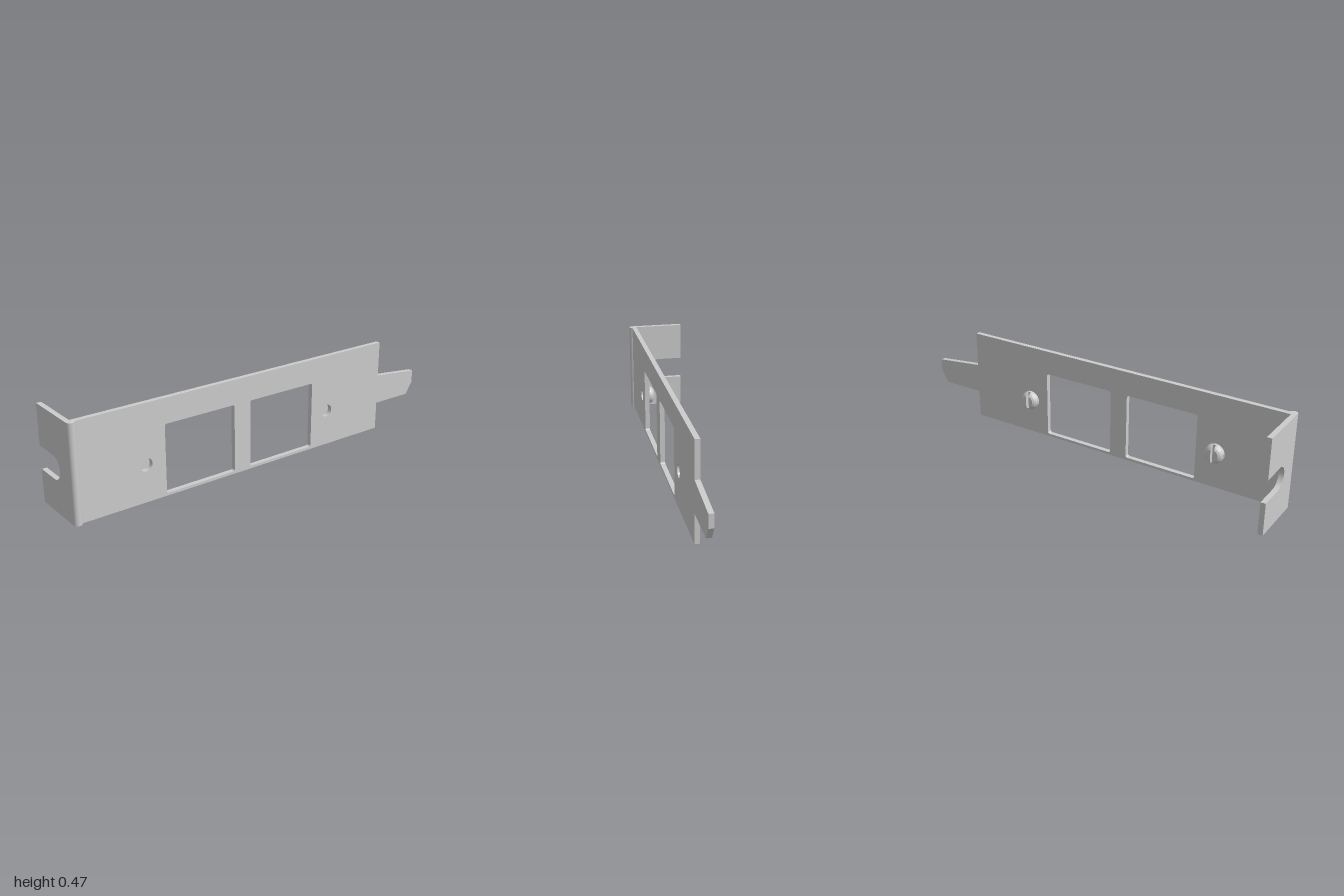
import * as THREE from 'three';
import { ConvexGeometry } from 'three/addons/geometries/ConvexGeometry.js';

const material = new THREE.MeshStandardMaterial({ color: 0xcccccc });
const T = 0.024; // sheet thickness
const INNER = 0.106; // inner face of the long plate

function mesh(name, geometry) {
  const m = new THREE.Mesh(geometry, material);
  m.name = name;
  return m;
}

function extrude(shape) {
  return new THREE.ExtrudeGeometry(shape, { depth: T, bevelEnabled: false, curveSegments: 16 });
}

function roundedWindow(x0, x1, y0, y1, r) {
  const p = new THREE.Path();
  p.absarc(x1 - r, y0 + r, r, -Math.PI / 2, 0);
  p.absarc(x1 - r, y1 - r, r, 0, Math.PI / 2);
  p.absarc(x0 + r, y1 - r, r, Math.PI / 2, Math.PI);
  p.absarc(x0 + r, y0 + r, r, Math.PI, Math.PI * 1.5);
  p.closePath();
  return p;
}

// Slotted button head: low rim with two domed halves, axis along local y
function buttonHead() {
  const head = new THREE.Group();
  const rim = mesh('headRim', new THREE.CylinderGeometry(0.047, 0.047, 0.014, 32));
  rim.position.y = 0.007;
  head.add(rim);
  const slot = 0.008;
  const levels = [[0.047, 0.013], [0.045, 0.022], [0.039, 0.03], [0.03, 0.036]];
  for (const side of [1, -1]) {
    const points = [];
    for (const [r, y] of levels) {
      const a0 = Math.asin(slot / r);
      for (let i = 0; i <= 14; i++) {
        const a = a0 + (Math.PI - 2 * a0) * i / 14;
        points.push(new THREE.Vector3(r * Math.cos(a), y, side * r * Math.sin(a)));
      }
    }
    head.add(mesh('headHalf', new ConvexGeometry(points)));
  }
  return head;
}

export function createModel() {
  const group = new THREE.Group();
  const studs = [0.64, -0.4];
  const studY = 0.18;

  // Long plate with tapered tab, drawn with the horizontal axis as -z
  const plate = new THREE.Shape([
    [-0.98, 0], [0.745, 0], [0.745, 0.14], [0.962, 0.14], [1, 0.2], [1, 0.263],
    [0.745, 0.29], [0.745, 0.466], [-0.98, 0.466],
  ].map(([x, y]) => new THREE.Vector2(x, y)));
  plate.holes.push(roundedWindow(-0.54, -0.165, 0.013, 0.345, 0.01));
  plate.holes.push(roundedWindow(-0.075, 0.3, 0.013, 0.345, 0.01));
  for (const z of studs) {
    plate.holes.push(new THREE.Path().absarc(-z, studY, 0.031, 0, Math.PI * 2));
  }
  const plateMesh = mesh('plate', extrude(plate));
  plateMesh.rotation.y = Math.PI / 2;
  plateMesh.position.x = INNER;
  group.add(plateMesh);

  // Mounting flange with open-ended slot
  const flange = new THREE.Shape();
  flange.moveTo(-0.147, 0);
  flange.lineTo(0.125, 0);
  flange.lineTo(0.125, 0.466);
  flange.lineTo(-0.147, 0.466);
  flange.lineTo(-0.147, 0.271);
  flange.lineTo(-0.021, 0.271);
  flange.absarc(-0.021, 0.215, 0.056, Math.PI / 2, -Math.PI / 2, true);
  flange.lineTo(-0.147, 0.159);
  flange.closePath();
  const flangeMesh = mesh('flange', extrude(flange));
  flangeMesh.position.z = 1 - T;
  group.add(flangeMesh);

  // Rounded bead along the bend
  const bead = mesh('bendBead', new THREE.CylinderGeometry(0.02, 0.02, 0.466, 20));
  bead.position.set(0.125, 0.233, 0.98);
  group.add(bead);

  // Button heads on the inner face
  for (const z of studs) {
    const head = buttonHead();
    head.name = 'buttonHead';
    head.rotation.z = Math.PI / 2;
    head.position.set(INNER, studY, z);
    group.add(head);
  }
  return group;
}
